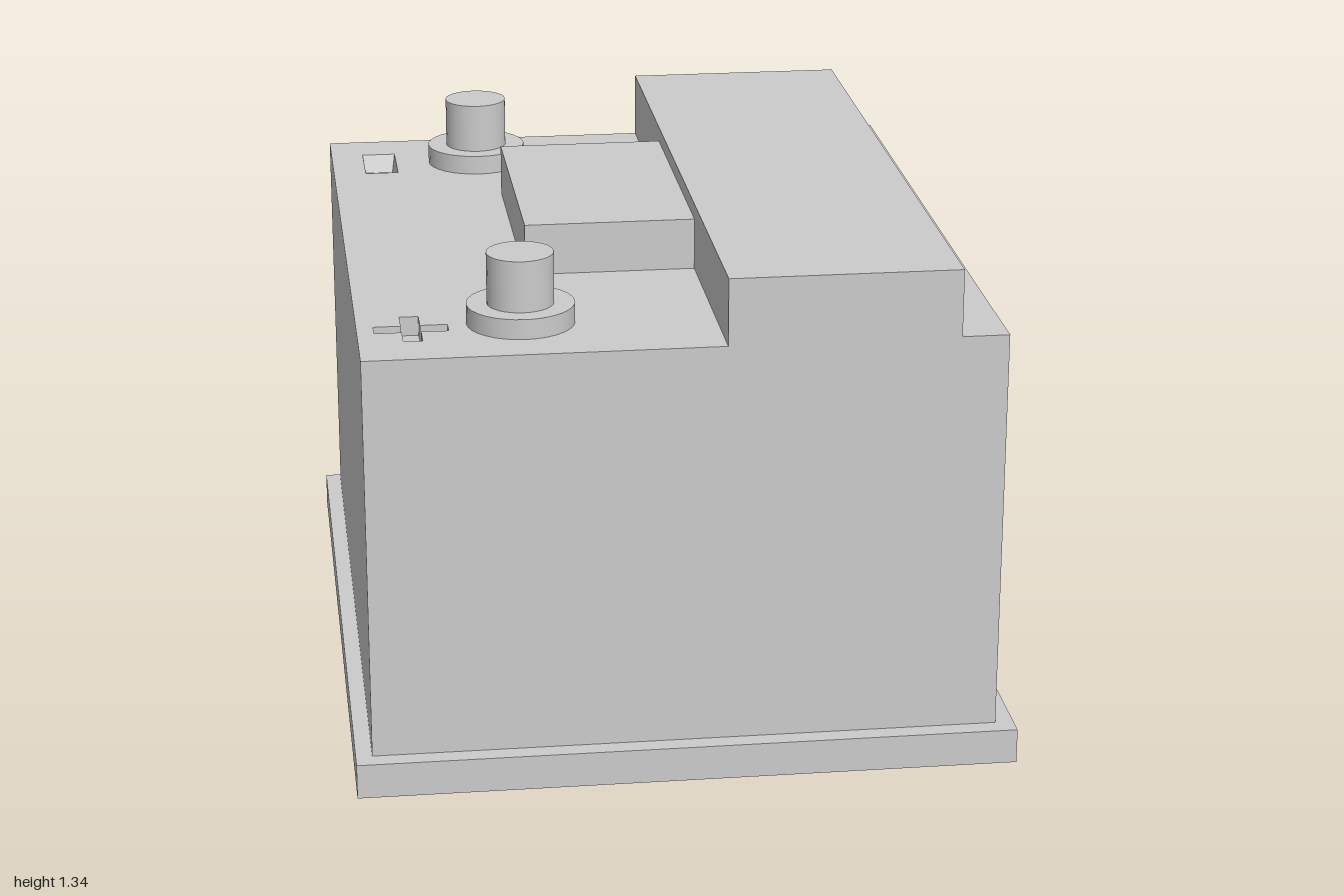
import * as THREE from 'three';

const material = new THREE.MeshStandardMaterial({ color: 0xcccccc });
const LID = 1.155, DEPTH = 0.05;
const BACK = -0.955, FRONT = 0.95, LEFT = -0.808, STEP = 0.095;

const points = (list) => list.map(([x, y]) => new THREE.Vector2(x, y));

export function createModel() {
  const model = new THREE.Group();

  const add = (name, geometry, x = 0, y = 0, z = 0, mat = material) => {
    const mesh = new THREE.Mesh(geometry, mat);
    mesh.name = name;
    mesh.position.set(x, y, z);
    model.add(mesh);
    return mesh;
  };
  // Box given by its lower and upper corners
  const addBox = (name, [x0, y0, z0], [x1, y1, z1]) =>
    add(name, new THREE.BoxGeometry(x1 - x0, y1 - y0, z1 - z0),
      (x0 + x1) / 2, (y0 + y1) / 2, (z0 + z1) / 2);

  addBox('baseFlange', [-0.85, 0, -1], [0.85, 0.092, 1]);

  // Case with its raised ridge, one side profile run from back to front
  const profile = new THREE.Shape(points([
    [LEFT, 0.092], [0.802, 0.092], [0.802, LID], [0.682, LID], [0.682, 1.33],
    [STEP, 1.33], [STEP, LID - DEPTH], [LEFT, LID - DEPTH],
  ]));
  add('case', new THREE.ExtrudeGeometry(profile, { depth: FRONT - BACK, bevelEnabled: false }), 0, 0, BACK);

  // Lid plate with sunken plus and minus marks (shape y is -z)
  const lid = new THREE.Shape(points([[LEFT, -FRONT], [STEP, -FRONT], [STEP, -BACK], [LEFT, -BACK]]));
  const markX = -0.672, plusZ = 0.725, minusZ = -0.728;
  const a = 0.093, b = 0.024;
  lid.holes.push(new THREE.Path(points([
    [-b, -a], [b, -a], [b, -b], [a, -b], [a, b], [b, b],
    [b, a], [-b, a], [-b, b], [-a, b], [-a, -b], [-b, -b],
  ].map(([x, y]) => [x + markX, y - plusZ]))));
  const w = 0.046, h = 0.093;
  lid.holes.push(new THREE.Path(points([[-w, -h], [w, -h], [w, h], [-w, h]]
    .map(([x, y]) => [x + markX, y - minusZ]))));
  const lidGeometry = new THREE.ExtrudeGeometry(lid, { depth: DEPTH, bevelEnabled: false });
  lidGeometry.rotateX(-Math.PI / 2);
  add('lidPlate', lidGeometry, 0, LID - DEPTH, 0);

  // Sloping walls inside the minus mark
  const slope = new THREE.CylinderGeometry(Math.SQRT2, Math.SQRT2 * 0.83, DEPTH, 4, 1, true).toNonIndexed();
  slope.rotateY(Math.PI / 4);
  slope.scale(w, 1, h);
  slope.computeVertexNormals();
  const inside = material.clone();
  inside.side = THREE.BackSide;
  add('minusMarkWalls', slope, markX, LID - DEPTH / 2, minusZ, inside);

  addBox('ventCover', [-0.35, LID, -0.402], [STEP, 1.29, 0.333]);

  // Terminals: collar and post
  for (const [side, z] of [['rear', -0.728], ['front', 0.702]]) {
    add(side + 'TerminalCollar', new THREE.CylinderGeometry(0.137, 0.137, 0.052, 32), -0.395, LID + 0.026, z);
    add(side + 'TerminalPost', new THREE.CylinderGeometry(0.085, 0.085, 0.185, 32), -0.395, LID + 0.0925, z);
  }
  return model;
}
